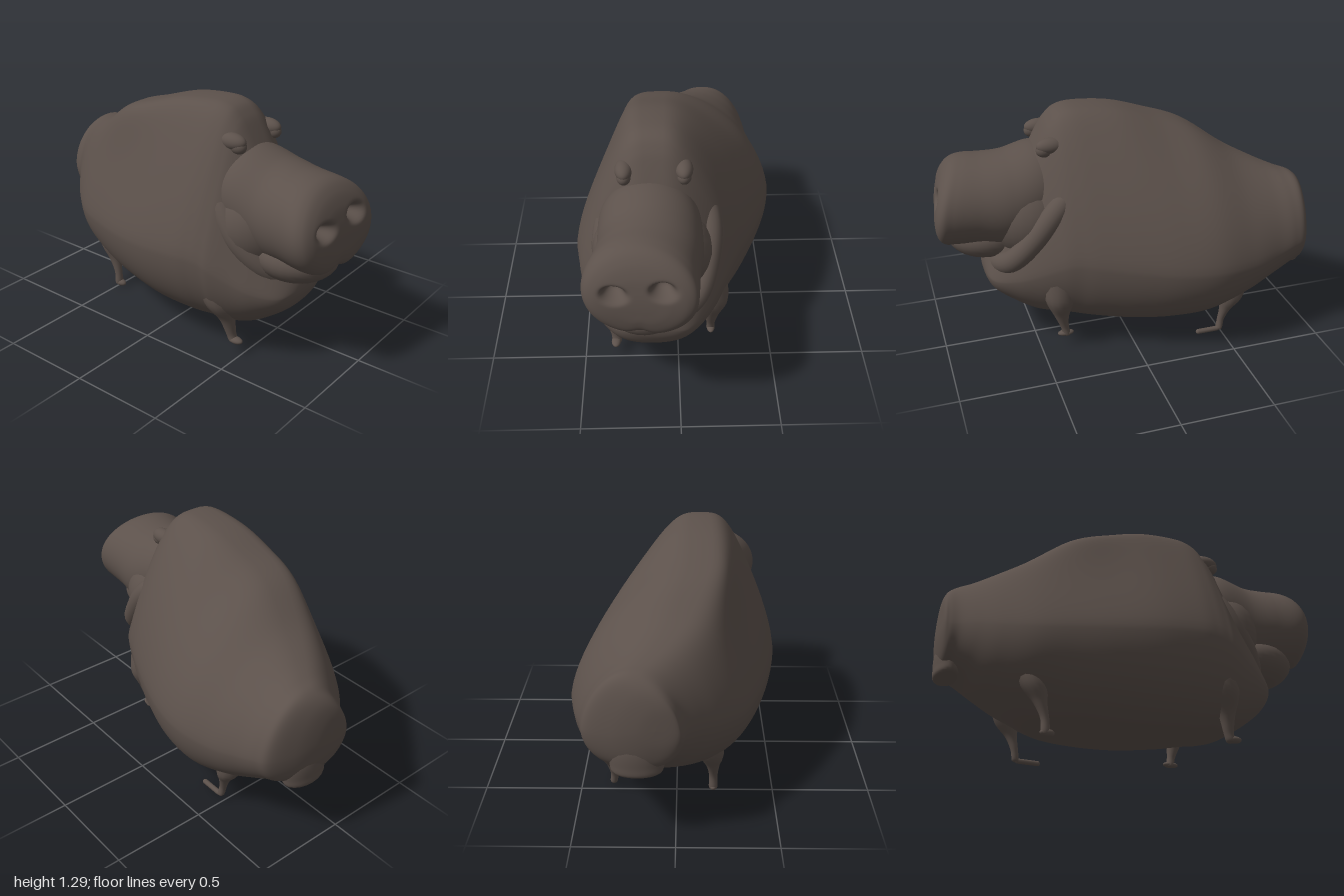
import * as THREE from 'three';

// Catmull-Rom sampling of a short table of rows, u in 0..1
function sample(rows, u) {
  const f = u * (rows.length - 1);
  const i = Math.min(Math.floor(f), rows.length - 2);
  const t = f - i;
  const at = (k) => rows[Math.max(0, Math.min(rows.length - 1, k))];
  const [a, b, c, d] = [at(i - 1), at(i), at(i + 1), at(i + 2)];
  return b.map((v, k) => v + 0.5 * t * (c[k] - a[k]
    + t * (2 * a[k] - 5 * v + 4 * c[k] - d[k]
    + t * (3 * (v - c[k]) + d[k] - a[k]))));
}

// Closed rings joined along u
function loft(nu, nt, point) {
  const pos = [], idx = [];
  for (let i = 0; i <= nu; i++) {
    for (let j = 0; j < nt; j++) pos.push(...point(i / nu, (j / nt) * Math.PI * 2));
  }
  for (let i = 0; i < nu; i++) {
    for (let j = 0; j < nt; j++) {
      const k = (j + 1) % nt;
      const a = i * nt + j, b = a + nt, c = b - j + k, d = a - j + k;
      idx.push(a, b, c, a, c, d);
    }
  }
  const g = new THREE.BufferGeometry();
  g.setAttribute('position', new THREE.Float32BufferAttribute(pos, 3));
  g.setIndex(idx);
  g.computeVertexNormals();
  return g;
}

export function createModel() {
  const model = new THREE.Group();
  const skin = new THREE.MeshStandardMaterial({ color: 0x5c514b });
  skin.name = 'brown skin';

  const add = (name, geometry) => {
    const mesh = new THREE.Mesh(geometry, skin);
    mesh.name = name;
    model.add(mesh);
    return mesh;
  };
  const blob = (name, p, r) => {
    const mesh = add(name, new THREE.SphereGeometry(1, 32, 20));
    mesh.position.set(...p);
    mesh.scale.set(...r);
    return mesh;
  };

  // Pear-shaped body, pinched towards the crown: x, top, bottom, zMin, zMax
  const bodyRows = [
    [-1.0, 0.63, 0.63, -0.09, -0.09], [-0.995, 0.74, 0.53, -0.18, 0.01],
    [-0.97, 0.82, 0.43, -0.3, 0.035], [-0.92, 0.875, 0.39, -0.42, 0.06],
    [-0.85, 0.895, 0.355, -0.447, 0.13], [-0.75, 0.93, 0.285, -0.465, 0.23],
    [-0.6, 1.0, 0.2, -0.505, 0.34], [-0.4, 1.13, 0.12, -0.54, 0.42],
    [-0.2, 1.2, 0.09, -0.52, 0.48], [0, 1.262, 0.08, -0.46, 0.52],
    [0.2, 1.285, 0.095, -0.38, 0.53], [0.3, 1.272, 0.11, -0.33, 0.52],
    [0.36, 1.225, 0.12, -0.3, 0.51], [0.41, 1.15, 0.125, -0.27, 0.5],
    [0.5, 0.98, 0.15, -0.215, 0.46], [0.6, 0.76, 0.21, -0.15, 0.41],
    [0.7, 0.56, 0.29, -0.07, 0.33], [0.74, 0.47, 0.36, 0.0, 0.24],
    [0.75, 0.415, 0.415, 0.12, 0.12],
  ];
  add('body', loft(108, 96, (u, t) => {
    const [x, top, bottom, z0, z1] = sample(bodyRows, u);
    const s = Math.sin(t), c = Math.cos(t);
    const up = Math.max(0, s);
    const mid = bottom + 0.4 * (top - bottom);
    const y = mid + s * (s > 0 ? top - mid : mid - bottom);
    const crown = THREE.MathUtils.smoothstep(x, -0.95, -0.2);
    const power = s > 0 ? 0.85 - 0.29 * crown : 0.85;
    const pinch = 1 - (0.14 + 0.32 * crown) * up ** 1.2;
    const w = Math.sign(c) * Math.abs(c) ** power * pinch;
    const centre = (z0 + z1) / 2;
    return [x, y, centre + crown * (0.12 - centre) * up ** 3 + ((z1 - z0) / 2) * w];
  }));

  // Snout with slanted domed nose, split lower lip and two nostril hollows:
  // x, centre y, centre z, half height, half width
  const snoutRows = [
    [0.25, 0.82, 0.14, 0.2, 0.2], [0.42, 0.85, 0.14, 0.24, 0.25],
    [0.6, 0.8, 0.14, 0.255, 0.26], [0.75, 0.8, 0.165, 0.24, 0.263],
    [0.87, 0.8, 0.185, 0.235, 0.272], [0.93, 0.795, 0.185, 0.225, 0.262],
    [0.96, 0.79, 0.185, 0.19, 0.22], [0.97, 0.79, 0.185, 0.13, 0.15],
    [0.97, 0.79, 0.185, 0.065, 0.075], [0.97, 0.79, 0.185, 0, 0],
  ];
  const nostrils = [[0.825, 0.305], [0.855, 0.08]];
  add('snout', loft(120, 96, (u, t) => {
    let [x, cy, cz, ry, rz] = sample(snoutRows, u);
    const front = THREE.MathUtils.smoothstep(x, 0.55, 0.9);
    const notch = 1 - 0.15 * front * Math.exp(-(((t - 1.5 * Math.PI) / 0.22) ** 2));
    const dy = ry * Math.sin(t) * notch, dz = rz * Math.cos(t);
    const y = cy + dy, z = cz + dz;
    x -= front * (0.11 * dz + 0.12 * dy + 0.8 * dy * dy);
    if (u > 0.6) {
      for (const [ny, nz] of nostrils) {
        x -= 0.08 * Math.exp(-((((y - ny) / 0.035) ** 2 + ((z - nz) / 0.05) ** 2) ** 1.5));
      }
    }
    return [x, y, z];
  }));
  blob('lowerJaw', [0.7, 0.595, 0.17], [0.225, 0.132, 0.205]);
  blob('cheeks', [0.48, 0.72, 0.13], [0.25, 0.26, 0.3]);

  // Neck roll sweeping under the jaw, its ends buried in the body
  const roll = new THREE.CatmullRomCurve3([
    [0.16, 0.98, -0.04], [0.36, 0.84, -0.155], [0.5, 0.66, -0.145], [0.62, 0.51, -0.07],
    [0.67, 0.455, 0.1], [0.63, 0.51, 0.27], [0.5, 0.66, 0.365], [0.36, 0.84, 0.35],
    [0.16, 0.98, 0.24],
  ].map((p) => new THREE.Vector3(...p)));
  add('neckRoll', new THREE.TubeGeometry(roll, 64, 0.062, 20));

  // Eyes under heavy brows that run back into the head
  for (const [side, z] of [['left', 0.262], ['right', -0.03]]) {
    blob(side + 'Eye', [0.41, 1.105, z], [0.045, 0.038, 0.035]);
    blob(side + 'Brow', [0.375, 1.125, z], [0.078, 0.042, 0.044]);
  }

  // Thin tapering legs: x, y, z, radius from the top down
  const legs = {
    leftFrontLeg: [[0.35, 0.47, 0.37, 0.1], [0.39, 0.31, 0.38, 0.082], [0.42, 0.2, 0.35, 0.044],
      [0.435, 0.11, 0.335, 0.027], [0.45, 0.065, 0.33, 0.024]],
    rightFrontLeg: [[0.38, 0.44, -0.16, 0.1], [0.39, 0.31, -0.185, 0.082], [0.385, 0.2, -0.18, 0.042],
      [0.37, 0.12, -0.18, 0.023], [0.36, 0.07, -0.18, 0.022]],
    leftHindLeg: [[-0.58, 0.4, 0.12, 0.1], [-0.56, 0.26, 0.17, 0.07], [-0.53, 0.17, 0.185, 0.036],
      [-0.505, 0.09, 0.19, 0.022], [-0.5, 0.015, 0.19, 0.022]],
    rightHindLeg: [[-0.56, 0.38, -0.3, 0.1], [-0.54, 0.24, -0.33, 0.065], [-0.51, 0.16, -0.33, 0.032],
      [-0.49, 0.09, -0.325, 0.02], [-0.48, 0.035, -0.33, 0.018]],
  };
  for (const [name, rows] of Object.entries(legs)) {
    const end = rows[rows.length - 1];
    const closed = [...rows, [end[0], end[1] - 0.004, end[2], 0]];
    add(name, loft(30, 16, (u, t) => {
      const [x, y, z, r] = sample(closed, u);
      return [x + r * Math.cos(t), y, z - r * Math.sin(t)];
    }));
  }

  // Feet
  blob('leftFrontFoot', [0.465, 0.076, 0.335], [0.042, 0.018, 0.025]);
  blob('rightFrontFoot', [0.365, 0.078, -0.18], [0.045, 0.016, 0.022]);
  blob('leftHindFoot', [-0.49, 0.02, 0.19], [0.038, 0.02, 0.022]);
  const toe = add('rightHindFoot', new THREE.CapsuleGeometry(0.014, 0.11, 6, 12));
  toe.rotation.z = Math.PI / 2;
  toe.position.set(-0.41, 0.036, -0.335);

  // Stubby tail flap with a blunt lower edge
  const tailRows = [[-0.9, 0.6, 0.06], [-0.91, 0.5, 0.075], [-0.915, 0.42, 0.072],
    [-0.92, 0.37, 0.06], [-0.92, 0.36, 0]];
  add('tail', loft(24, 20, (u, t) => {
    const [x, y, r] = sample(tailRows, u);
    return [x + r * Math.cos(t), y, -0.18 - 1.8 * r * Math.sin(t)];
  }));

  return model;
}
